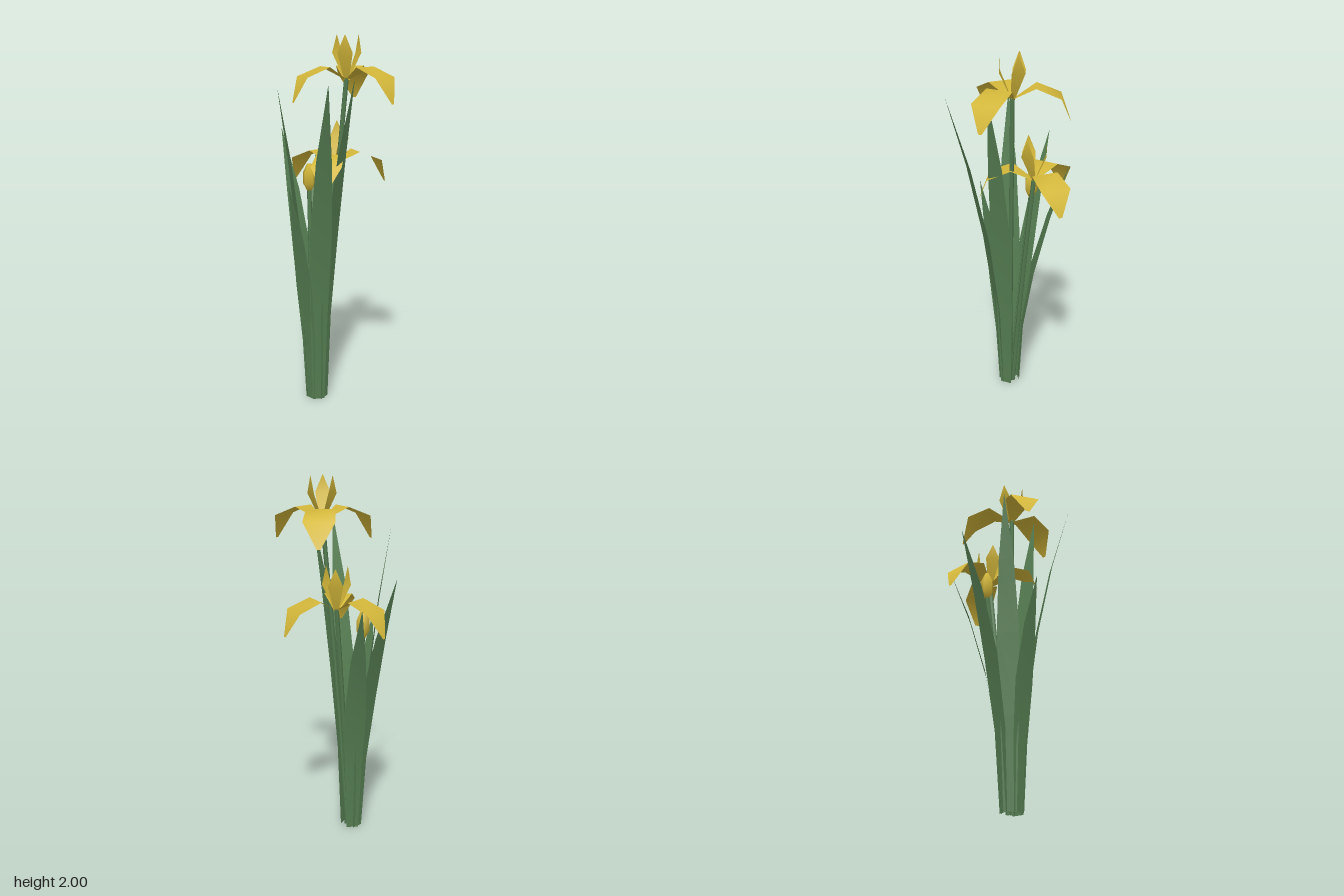
import * as THREE from 'three';

const green = new THREE.MeshStandardMaterial({ color: 0x557d51, side: THREE.DoubleSide });
green.name = 'leafGreen';
const yellow = new THREE.MeshStandardMaterial({ color: 0xd4b83a, side: THREE.DoubleSide });
yellow.name = 'petalYellow';

// Flat strip running out along +x; each station is [distance, height, halfWidth]
function strip(stations) {
  const pos = [], idx = [];
  stations.forEach(([r, y, w], i) => {
    pos.push(r, y, w, r, y, -w);
    if (i) {
      const a = 2 * i - 2;
      idx.push(a, a + 2, a + 1, a + 1, a + 2, a + 3);
    }
  });
  const g = new THREE.BufferGeometry();
  g.setAttribute('position', new THREE.Float32BufferAttribute(pos, 3));
  g.setIndex(idx);
  g.computeVertexNormals();
  return g;
}

function add(parent, name, geometry, material) {
  const m = new THREE.Mesh(geometry, material);
  m.name = name;
  parent.add(m);
  return m;
}

// Three drooping falls alternating with three upright standards
const fallGeo = strip([[0, 0, 0.012], [0.12, 0.07, 0.075], [0.245, 0.02, 0.083], [0.296, -0.11, 0.01]]);
const standardGeo = strip([[0.005, 0, 0.012], [0.065, 0.14, 0.04], [0.066, 0.23, 0.002]]);

function flower(name, x, y, z, degrees) {
  const f = new THREE.Group();
  f.name = name;
  for (let i = 0; i < 3; i++) {
    const a = THREE.MathUtils.degToRad(degrees + i * 120);
    add(f, 'fall', fallGeo, yellow).rotation.y = a;
    add(f, 'standard', standardGeo, yellow).rotation.y = a + Math.PI / 3;
  }
  f.position.set(x, y, z);
  return f;
}

// Slightly bowed stem from the clump to a flower or bud
function stem(parent, name, from, to) {
  const a = new THREE.Vector3(...from), b = new THREE.Vector3(...to);
  const mid = new THREE.Vector3(a.x * 0.6 + b.x * 0.4, b.y * 0.5, a.z * 0.6 + b.z * 0.4);
  const curve = new THREE.QuadraticBezierCurve3(a, mid, b);
  add(parent, name, new THREE.TubeGeometry(curve, 5, 0.013, 5), green);
}

export function createModel() {
  const plant = new THREE.Group();
  plant.name = 'irisPlant';
  const cx = -0.055, cz = 0.1;

  // Sword leaves: tip x, tip y, tip z
  const tips = [
    [0.208, 1.76, 0.312], [-0.225, 1.72, 0.205], [-0.365, 1.49, 0.025],
    [-0.07, 1.23, 0.298], [0.182, 1.78, 0.07], [-0.272, 1.35, -0.16],
  ];
  const profile = [[0, 0.033], [0.28, 0.048], [0.54, 0.06], [0.78, 0.041], [1, 0.001]];
  const leaves = new THREE.Group();
  leaves.name = 'leaves';
  for (const [x, y, z] of tips) {
    const reach = Math.hypot(x - cx, z - cz);
    const geo = strip(profile.map(([t, w]) => [0.05 + (reach - 0.05) * t * t, y * t, w]));
    const leaf = add(leaves, 'leaf', geo, green);
    leaf.position.set(cx, 0, cz);
    leaf.rotation.y = Math.atan2(-(z - cz), x - cx);
  }
  plant.add(leaves);

  // Stems
  stem(plant, 'tallStem', [-0.035, 0, 0.085], [0.07, 1.78, -0.005]);
  stem(plant, 'middleStem', [-0.055, 0, 0.075], [-0.055, 1.32, -0.062]);
  stem(plant, 'budStem', [-0.08, 0, 0.1], [-0.167, 1.18, 0.024]);

  // Flowers
  plant.add(flower('tallFlower', 0.07, 1.77, -0.007, 0));
  plant.add(flower('middleFlower', -0.055, 1.31, -0.062, 178.3));

  // Closed bud
  const budProfile = [[0, 0], [0.014, 0], [0.036, 0.04], [0.036, 0.1], [0.012, 0.15], [0, 0.15]];
  const bud = add(plant, 'bud', new THREE.LatheGeometry(budProfile.map(p => new THREE.Vector2(...p)), 5), yellow);
  bud.position.set(-0.167, 1.16, 0.024);

  return plant;
}
